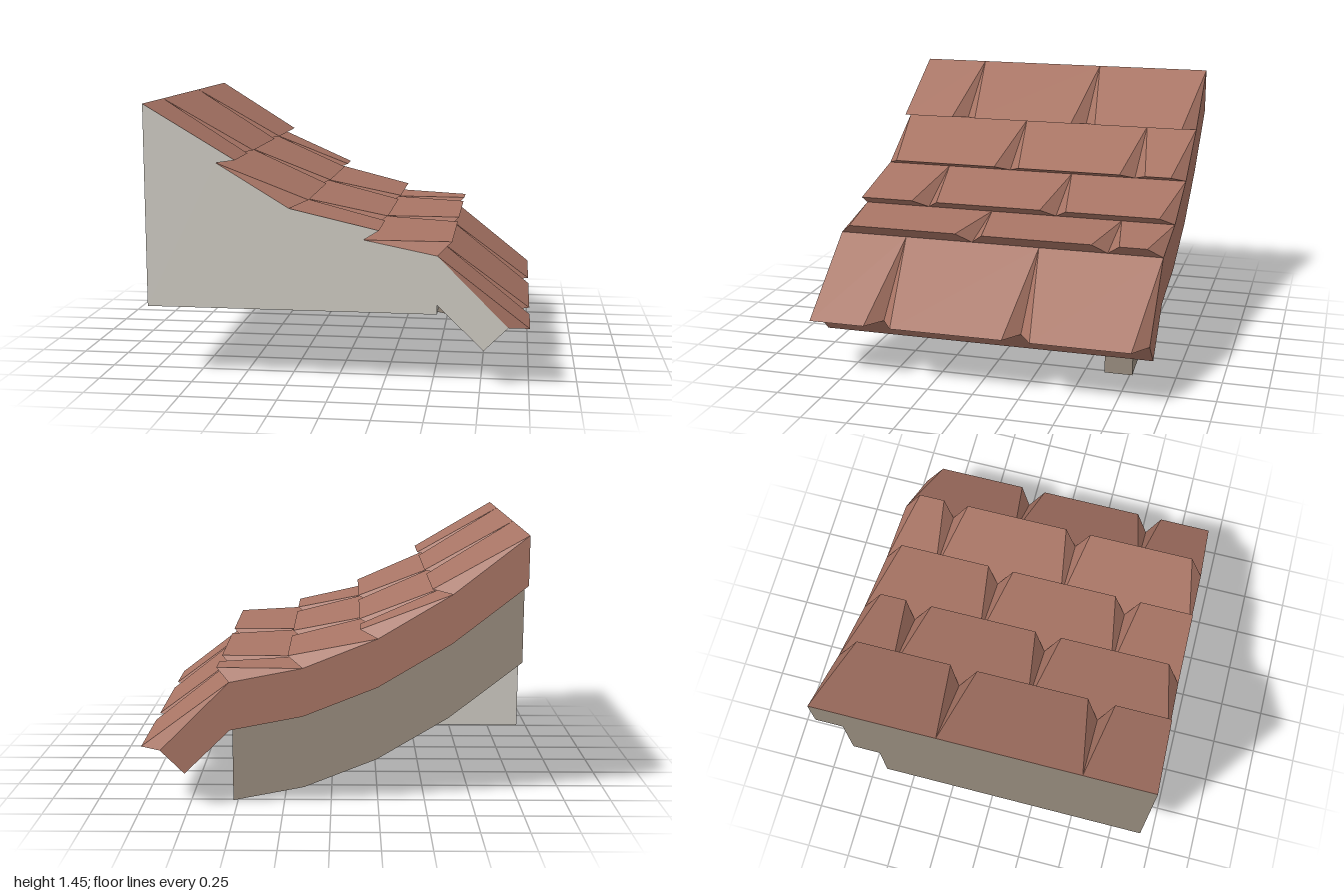
import * as THREE from 'three';

const material = (name, color) => {
  const m = new THREE.MeshStandardMaterial({ color });
  m.name = name;
  return m;
};

const HALF = 0.915;       // half depth of the roof
const WALL_BACK = -0.61;  // rear plane of the wall
const SLAB = 0.255;       // vertical thickness of the roof slab
const DROP = 0.685;       // bottom of the bargeboard below the roof line
const NOTCH = 0.075;      // taper of a tile at each lower corner

// Roof line, from the ridge to the eave
const line = [[-1, 1.45], [-0.62, 1.15], [-0.24, 0.92], [0.145, 0.765], [0.525, 0.69], [0.89, 0.325]];
// Raised lower edge of each tile row
const tips = [[-0.52, 1.165], [-0.15, 0.955], [0.225, 0.815], [0.595, 0.752], [1, 0.325]];
// Joints between tiles in alternating rows
const joints = [[-HALF, -0.235, 0.53, HALF], [-HALF, -0.615, 0.145, HALF]];

const shapeOf = (pts) => new THREE.Shape(pts.map(([x, y]) => new THREE.Vector2(x, y)));
const lowered = (pts, d) => pts.map(([x, y]) => [x, y - d]);

function prism(name, pts, z0, z1, mat) {
  const geo = new THREE.ExtrudeGeometry(shapeOf(pts), { depth: z1 - z0, bevelEnabled: false });
  geo.translate(0, 0, z0);
  const mesh = new THREE.Mesh(geo, mat);
  mesh.name = name;
  return mesh;
}

// One row of wedge-shaped tiles, tapered towards the raised lower edge
function tileRow(row, mat) {
  const pos = [];
  const tri = (...p) => p.forEach((v) => pos.push(...v));
  const quad = (a, b, c, d) => { tri(a, b, c); tri(a, c, d); };
  const zs = joints[row % 2];
  for (let i = 0; i < zs.length - 1; i++) {
    const z0 = zs[i], z1 = zs[i + 1];
    const frontNotch = row % 2 === 0 && i === zs.length - 2 ? 0 : NOTCH;
    const [a0, a1] = [[...line[row], z0], [...line[row], z1]];
    const [b0, b1] = [[...line[row + 1], z0], [...line[row + 1], z1]];
    const [t0, t1] = [[...tips[row], z0 + NOTCH], [...tips[row], z1 - frontNotch]];
    quad(a0, a1, t1, t0);  // top
    quad(t0, t1, b1, b0);  // lower edge
    tri(a1, b1, t1);       // front side
    tri(a0, t0, b0);       // back side
  }
  const geo = new THREE.BufferGeometry();
  geo.setAttribute('position', new THREE.Float32BufferAttribute(pos, 3));
  geo.computeVertexNormals();
  const mesh = new THREE.Mesh(geo, mat);
  mesh.name = 'tileRow' + (row + 1);
  return mesh;
}

export function createModel() {
  const group = new THREE.Group();
  group.name = 'roofSection';
  const tile = material('roofTile', 0xa97565);
  const plaster = material('plaster', 0xcfcbc3);
  const timber = material('timber', 0x998d7f);

  const upper = line.slice(0, 5);
  const under = lowered(upper, SLAB);

  // Roof slab with the steep eave
  const slabShape = [...line, [0.765, 0.2], ...[...under].reverse()];
  group.add(prism('roofSlab', slabShape, -HALF, HALF, tile));

  // Tile rows
  for (let row = 0; row < tips.length; row++) group.add(tileRow(row, tile));

  // Wall below the slab
  group.add(prism('wall', [[-1, 0.385], [0.525, 0.385], ...[...under].reverse()], WALL_BACK, HALF, plaster));

  // Curved bargeboard behind the wall
  group.add(prism('bargeboard', [...lowered(upper, DROP), ...[...under].reverse()], -0.765, WALL_BACK, timber));

  // Plaster face on the front, covering the slab and the flush tile ends
  const face = new THREE.Mesh(new THREE.ShapeGeometry(shapeOf([
    [-1, 0.385], [0.525, 0.385], [0.525, 0.435], [0.765, 0.2], line[5], line[4], line[3],
    tips[2], line[2], line[1], tips[0], line[0],
  ])), plaster);
  face.position.z = HALF + 0.0015;
  face.name = 'frontFace';
  group.add(face);

  // Cut end under the ridge: horizontal axis of the shape is z
  const cut = new THREE.Mesh(new THREE.ShapeGeometry(shapeOf([
    [WALL_BACK, 0.385], [HALF, 0.385], [HALF, 1.45], [-HALF, 1.45], [-HALF, 1.45 - SLAB], [WALL_BACK, 1.45 - SLAB],
  ])), timber);
  cut.rotation.y = -Math.PI / 2;
  cut.position.x = -1.0015;
  cut.name = 'ridgeCutFace';
  group.add(cut);

  return group;
}
